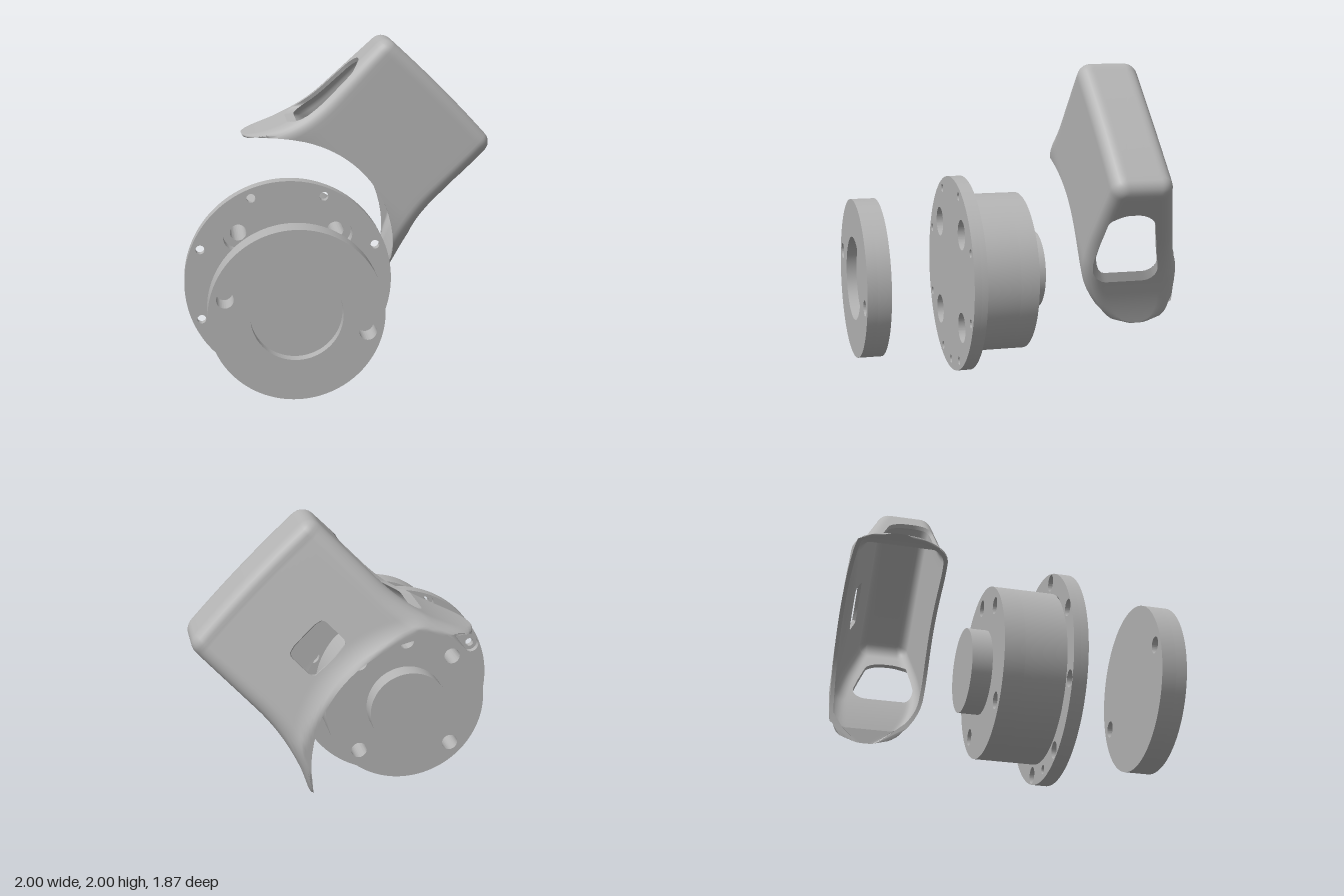
import * as THREE from 'three';
import { toCreasedNormals } from 'three/addons/utils/BufferGeometryUtils.js';

const AXIS_X = -0.37, AXIS_Y = 0.635;
const clamp01 = t => THREE.MathUtils.clamp(t, 0, 1);

// ---------- round parts: stacked discs with drilled holes ----------
function disc(radius, z0, z1, holes = []) {
  const shape = new THREE.Shape().absarc(0, 0, radius, 0, Math.PI * 2, false);
  for (const [x, y, r] of holes) {
    shape.holes.push(new THREE.Path().absarc(x, y, r, 0, Math.PI * 2, true));
  }
  const geo = new THREE.ExtrudeGeometry(shape, { depth: z1 - z0, bevelEnabled: false, curveSegments: 64 });
  geo.translate(0, 0, z0);
  return toCreasedNormals(geo, 0.6);
}

// count holes of size r on a pitch circle, first one at startDeg
function pattern(count, pitch, startDeg, r) {
  return Array.from({ length: count }, (_, k) => {
    const a = THREE.MathUtils.degToRad(startDeg + k * 360 / count);
    return [Math.cos(a) * pitch, Math.sin(a) * pitch, r];
  });
}

// ---------- hollow cover: rounded box section swept along u ----------
// local frame: u points diagonally away from the disc axis, v runs across, z is depth
const CUT = 0.745, TIP = 0.35, WALL = 0.025, EDGE = 0.075;
const NC = 8, NS = 20, Q = NC + NS, N = Q * 4;   // steps round the section
const B = 48, C = 6, K = 7, ROWS = B + C + K;    // steps along: body, edge, end face

// front and back faces; both curve inwards at the tips of the arms
const quarterRound = t => 1 - Math.sqrt(1 - clamp01(t) ** 2);
const frontZ = u => -0.325 - 0.25 * quarterRound((0.75 - u) / 0.4);
const backZ = u => -0.935 + 0.31 * Math.max(0, u - 0.64) + 0.1 * quarterRound((0.5 - u) / 0.15);

function section(i, u, inset) {
  const w = 0.505 + 0.48 * Math.max(0, 0.95 - u) ** 2 - inset;
  const low = clamp01((1.3 - u) / 0.8);
  const corner = (q, f) => {
    const front = q % 4 === 0 || q % 4 === 3, right = q % 4 < 2;
    const r = Math.max(0.015, 0.085 + 0.025 * low - inset);
    const a = (1 - q - f) * Math.PI / 2;
    const cz = front ? frontZ(u) - inset - r : backZ(u) + inset + r;
    return [(right ? 1 : -1) * (w - r) + r * Math.cos(a), cz + r * Math.sin(a)];
  };
  i = ((i % N) + N) % N;
  const q = Math.floor(i / Q), f = i - q * Q;
  if (f <= NC) return corner(q, f / NC);
  const a = corner(q, 1), b = corner((q + 1) % 4, 0), t = (f - NC) / NS;
  return [a[0] + (b[0] - a[0]) * t, a[1] + (b[1] - a[1]) * t];
}

// where the sweep meets the cylindrical cut
function cutU(i, inset) {
  let lo = TIP, hi = 1.2;
  for (let k = 0; k < 22; k++) {
    const m = (lo + hi) / 2;
    if (Math.hypot(m, section(i, m, inset)[0]) > CUT) hi = m; else lo = m;
  }
  return hi;
}

function coverPoint(i, j, inset) {
  const top = v => 1.49 - EDGE - 0.06 * v * v - inset;
  const hi = top(section(i, 1.4, inset)[0]);
  if (j <= B) {
    const lo = cutU(i, inset), u = lo + (hi - lo) * j / B;
    const [v, z] = section(i, u, inset);
    // the back face flares into a low lip round the cut
    const lip = 0.035 * clamp01(1 - (Math.hypot(u, v) - CUT) / 0.13) ** 2 * clamp01((-z - 0.7) / 0.15);
    return [v, u, Math.max(z - lip, Math.min(z, -0.935 + inset))];
  }
  const phi = Math.min(1, (j - B) / C) * Math.PI / 2;
  const s = 1 - Math.max(0, j - B - C) / K;
  const [v, z] = section(i, hi, inset + EDGE * (1 - Math.cos(phi)));
  return [v * s, top(v * s) + EDGE * Math.sin(phi), -0.51 + (z + 0.51) * s];
}

function inRoundRect(x, y, hx, hy, r) {
  const dx = Math.max(0, Math.abs(x) - hx + r), dy = Math.max(0, Math.abs(y) - hy + r);
  return Math.hypot(dx, dy) < r;
}

// side windows and the small back window
function inWindow(i, j) {
  if (j < 0 || j > B) return false;
  const [v, u, z] = coverPoint(i, j, 0);
  if (z < backZ(u) + 0.012) return inRoundRect(u - 0.97, v, 0.1, 0.14, 0.04);
  const zb = backZ(u) + 0.125, zf = -0.365;
  return Math.abs(v) > 0.3 && inRoundRect(u - 0.94, z - (zf + zb) / 2, 0.305, (zf - zb) / 2, 0.11);
}

function buildCover(material) {
  const wrap = i => (i + N) % N, id = (i, j) => j * N + wrap(i);
  const inside = [];
  for (let j = 0; j <= ROWS; j++) for (let i = 0; i < N; i++) inside.push(inWindow(i, j));
  const isIn = (i, j) => j >= 0 && j <= ROWS && inside[id(i, j)];

  // slide grid points next to a window edge onto that edge
  const steps = [[1, 0], [-1, 0], [0, 1], [0, -1], [1, 1], [1, -1], [-1, 1], [-1, -1]];
  const outer = [], inner = [];
  const place = (list, [v, u, z]) => list.push(
    AXIS_X + (u + v) * Math.SQRT1_2, AXIS_Y + (u - v) * Math.SQRT1_2, z);
  for (let j = 0; j <= ROWS; j++) for (let i = 0; i < N; i++) {
    let pi = i, pj = j;
    const step = isIn(i, j) && steps.find(([a, b]) => !isIn(i + a, j + b));
    if (step) {
      let lo = 0, hi = 1;
      for (let k = 0; k < 12; k++) {
        const m = (lo + hi) / 2;
        if (inWindow(i + step[0] * m, j + step[1] * m)) lo = m; else hi = m;
      }
      pi += step[0] * lo; pj += step[1] * lo;
    }
    place(outer, coverPoint(pi, pj, 0));
    place(inner, coverPoint(pi, pj, WALL));
  }

  const kept = (i, j) => j >= 0 && j < ROWS &&
    !(isIn(i, j) && isIn(i + 1, j) && isIn(i + 1, j + 1) && isIn(i, j + 1));
  const outIdx = [], inIdx = [], rim = [];
  const rimPoint = (list, n) => rim.push(list[n * 3], list[n * 3 + 1], list[n * 3 + 2]);
  for (let j = 0; j < ROWS; j++) for (let i = 0; i < N; i++) {
    if (!kept(i, j)) continue;
    const a = id(i, j), b = id(i + 1, j), c = id(i + 1, j + 1), d = id(i, j + 1);
    outIdx.push(a, b, c, a, c, d);
    inIdx.push(a, c, b, a, d, c);
    // wall thickness along every open edge
    const edges = [[a, b, i, j - 1], [b, c, i + 1, j], [c, d, i, j + 1], [d, a, i - 1, j]];
    for (const [p, q, ni, nj] of edges) {
      if (nj >= ROWS || kept(ni, nj)) continue;
      rimPoint(outer, p); rimPoint(inner, p); rimPoint(inner, q);
      rimPoint(outer, p); rimPoint(inner, q); rimPoint(outer, q);
    }
  }

  const group = new THREE.Group();
  group.name = 'cover';
  const add = (name, points, index) => {
    let geo = new THREE.BufferGeometry();
    geo.setAttribute('position', new THREE.Float32BufferAttribute(points, 3));
    if (index) { geo.setIndex(index); geo.computeVertexNormals(); } else geo = toCreasedNormals(geo, 0.6);
    const mesh = new THREE.Mesh(geo, material);
    mesh.name = name;
    group.add(mesh);
  };
  add('coverOutside', outer, outIdx);
  add('coverInside', inner, inIdx);
  add('coverRims', rim);
  return group;
}

export function createModel() {
  const gray = new THREE.MeshStandardMaterial({ color: 0xb4b4b4 });
  gray.name = 'plain gray';
  const model = new THREE.Group();
  model.name = 'hubAssembly';

  const hub = new THREE.Group();
  hub.name = 'hub';
  hub.position.set(AXIS_X, AXIS_Y, 0);
  const part = (name, ...args) => {
    const mesh = new THREE.Mesh(disc(...args), gray);
    mesh.name = name;
    hub.add(mesh);
  };

  // front cap with a shallow recess and two pin holes
  const pins = [[-0.405, 0.11, 0.05], [0.405, -0.11, 0.05]];
  part('capFront', 0.505, 0.87, 0.935, [[0, 0, 0.265], ...pins]);
  part('capBack', 0.505, 0.785, 0.87, pins);

  // flange: rim screw holes counterbored from behind, four large ones from the front
  const bores = pattern(4, 0.42, 45, 0.095), locator = [0, -0.57, 0.027];
  part('flangeFront', 0.63, 0.255, 0.3, [...pattern(8, 0.574, 22.5, 0.027), locator, ...bores]);
  part('flangeBack', 0.63, 0.215, 0.255, [...pattern(8, 0.574, 22.5, 0.05), locator, ...bores]);

  // body with four through holes and one blind hole at the back
  const bolts = pattern(4, 0.42, 45, 0.05);
  part('bodyFront', 0.51, -0.03, 0.215, bolts);
  part('bodyBack', 0.51, -0.15, -0.03, [...bolts, [0, 0.42, 0.05]]);
  part('boss', 0.25, -0.27, -0.15);

  model.add(hub, buildCover(gray));
  return model;
}
